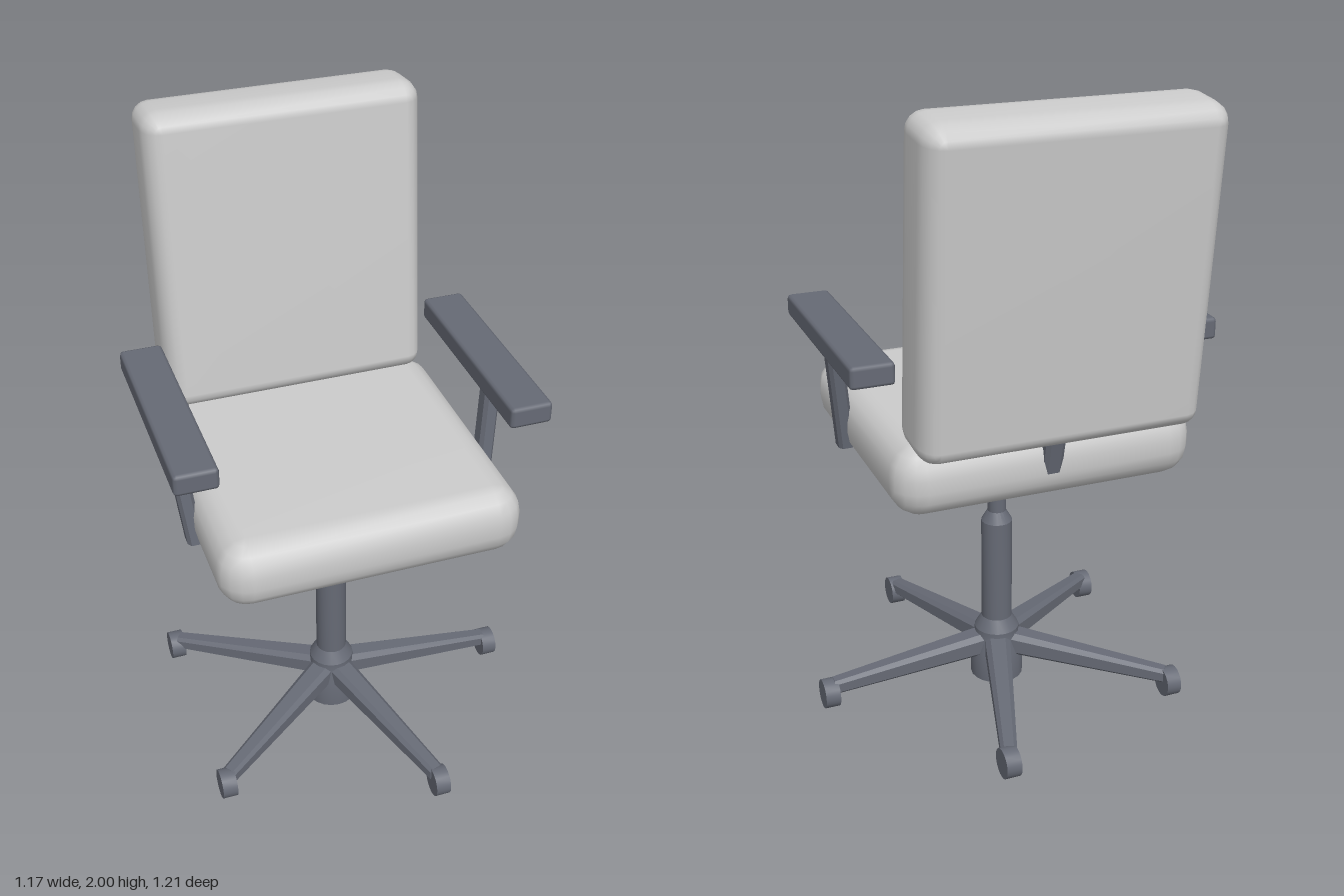
import * as THREE from 'three';
import { mergeVertices, toCreasedNormals } from 'three/addons/utils/BufferGeometryUtils.js';
import { RoundedBoxGeometry } from 'three/addons/geometries/RoundedBoxGeometry.js';

const CX = -0.02, CZ = 0.01; // axis of the swivel column

// Padded box lying flat: rounded-rectangle loops stacked in y, closed by a centre point.
// r is the corner radius seen from above, ry the rounding of the thickness.
function cushion(w, h, d, r, ry) {
  const steps = 4, layers = [], pos = [], index = [];
  for (let k = 0; k <= steps; k++) layers.push([-1, k / steps]);
  for (let k = steps; k >= 0; k--) layers.push([1, k / steps]);
  const n = 4 * (steps + 1);
  for (const [side, t] of layers) {
    const a = t * Math.PI / 2;
    const rad = r * Math.sin(a), y = side * (h / 2 - ry + ry * Math.cos(a));
    for (let c = 0; c < 4; c++) {
      const sx = c === 0 || c === 3 ? 1 : -1, sz = c < 2 ? 1 : -1;
      for (let s = 0; s <= steps; s++) {
        const th = (c + s / steps) * Math.PI / 2;
        pos.push(sx * (w / 2 - r) + rad * Math.cos(th), y, sz * (d / 2 - r) + rad * Math.sin(th));
      }
    }
  }
  const bottom = layers.length * n, top = bottom + 1, last = (layers.length - 1) * n;
  pos.push(0, -h / 2, 0, 0, h / 2, 0);
  for (let i = 0; i < n; i++) {
    const j = (i + 1) % n;
    for (let k = 0; k < layers.length - 1; k++) {
      const a = k * n + i, b = k * n + j;
      index.push(a, a + n, b, b, a + n, b + n);
    }
    index.push(bottom, i, j, top, last + j, last + i);
  }
  const g = new THREE.BufferGeometry();
  g.setAttribute('position', new THREE.Float32BufferAttribute(pos, 3));
  g.setIndex(index);
  const merged = mergeVertices(g, 1e-4);
  merged.computeVertexNormals();
  return merged;
}

// Eight-sided bar with a bevelled rectangular section, along y
function bar(w0, d0, w1, d1, length) {
  const g = new THREE.CylinderGeometry(1, 1, length, 8, 1);
  const p = g.attributes.position;
  const bevel = 0.6;
  for (let i = 0; i < p.count; i++) {
    const x = p.getX(i), z = p.getZ(i), up = p.getY(i) > 0;
    if (Math.hypot(x, z) < 0.01) continue;
    const k = Math.round((Math.atan2(z, x) / Math.PI * 4 + 8)) % 8;
    const corner = [[1, bevel], [bevel, 1], [-bevel, 1], [-1, bevel],
      [-1, -bevel], [-bevel, -1], [bevel, -1], [1, -bevel]][k];
    p.setX(i, corner[0] * (up ? w1 : w0) / 2);
    p.setZ(i, corner[1] * (up ? d1 : d0) / 2);
  }
  return g;
}

// Slants an upright bar so that its ends stay level
function shear(g, dx, dz, length) {
  const p = g.attributes.position;
  for (let i = 0; i < p.count; i++) {
    const t = p.getY(i) / length;
    p.setX(i, p.getX(i) + dx * t);
    p.setZ(i, p.getZ(i) + dz * t);
  }
  return g;
}

export function createModel() {
  const model = new THREE.Group();
  const padding = new THREE.MeshStandardMaterial({ color: 0xcccccc });
  const frame = new THREE.MeshStandardMaterial({ color: 0x666a75 });
  const frameFlat = new THREE.MeshStandardMaterial({ color: 0x666a75, flatShading: true });

  function add(name, geometry, material, x, y, z, parent = model) {
    const mesh = new THREE.Mesh(geometry, material);
    mesh.name = name;
    mesh.position.set(x, y, z);
    parent.add(mesh);
    return mesh;
  }

  // Seat and reclined backrest
  add('seat', cushion(0.935, 0.22, 0.89, 0.09, 0.09), padding, CX, 0.94, 0.015);
  const back = add('backrest', cushion(0.855, 0.235, 0.955, 0.055, 0.075), padding, CX, 1.516, -0.45);
  back.rotation.x = Math.PI / 2 - 0.094;

  // Bracket joining seat and backrest
  add('backBracket', shear(bar(0.06, 0.05, 0.06, 0.05, 0.22), 0, -0.05, 0.22), frameFlat, CX, 1.01, -0.425);

  // Armrests
  for (const side of [1, -1]) {
    const arm = new THREE.Group();
    arm.name = side > 0 ? 'leftArmrest' : 'rightArmrest';
    arm.position.x = CX;
    model.add(arm);
    add('armPad', new RoundedBoxGeometry(0.132, 0.068, 0.69, 1, 0.012), frame, side * 0.5, 1.257, 0.01, arm);
    add('armPost', shear(bar(0.05, 0.062, 0.05, 0.062, 0.37), side * 0.042, -0.052, 0.37),
      frameFlat, side * 0.487, 1.05, 0.081, arm);
  }

  // Gas-lift column with sleeve, collar and hub
  const profile = [[0, 0], [0.086, 0], [0.086, 0.1], [0.073, 0.14], [0.073, 0.175], [0.05, 0.215],
    [0.05, 0.565], [0.03, 0.6], [0.03, 0.86]].map(([r, y]) => new THREE.Vector2(r, y));
  add('column', toCreasedNormals(new THREE.LatheGeometry(profile, 20), 0.5), frame, CX, 0, CZ);
  add('seatPlate', toCreasedNormals(new THREE.CylinderGeometry(0.06, 0.06, 0.02, 20), 0.6), frame, CX, 0.837, CZ);

  // Five-star base; every caster rolls the same way
  const wheel = toCreasedNormals(new THREE.CylinderGeometry(0.047, 0.047, 0.048, 20).rotateZ(Math.PI / 2), 0.6);
  const from = 0.03, to = 0.565, legLength = to - from;
  const leg = shear(bar(0.085, 0.08, 0.05, 0.048, legLength), 0, 0.055, legLength)
    .rotateX(Math.PI / 2).translate(0, 0.0975, (from + to) / 2);
  for (let i = 0; i < 5; i++) {
    const a = Math.PI / 2 + i * Math.PI * 2 / 5;
    add('leg', leg, frameFlat, CX, 0, CZ).rotation.y = a;
    add('caster', wheel, frame, CX + 0.578 * Math.sin(a), 0.047, CZ + 0.578 * Math.cos(a));
  }
  return model;
}
